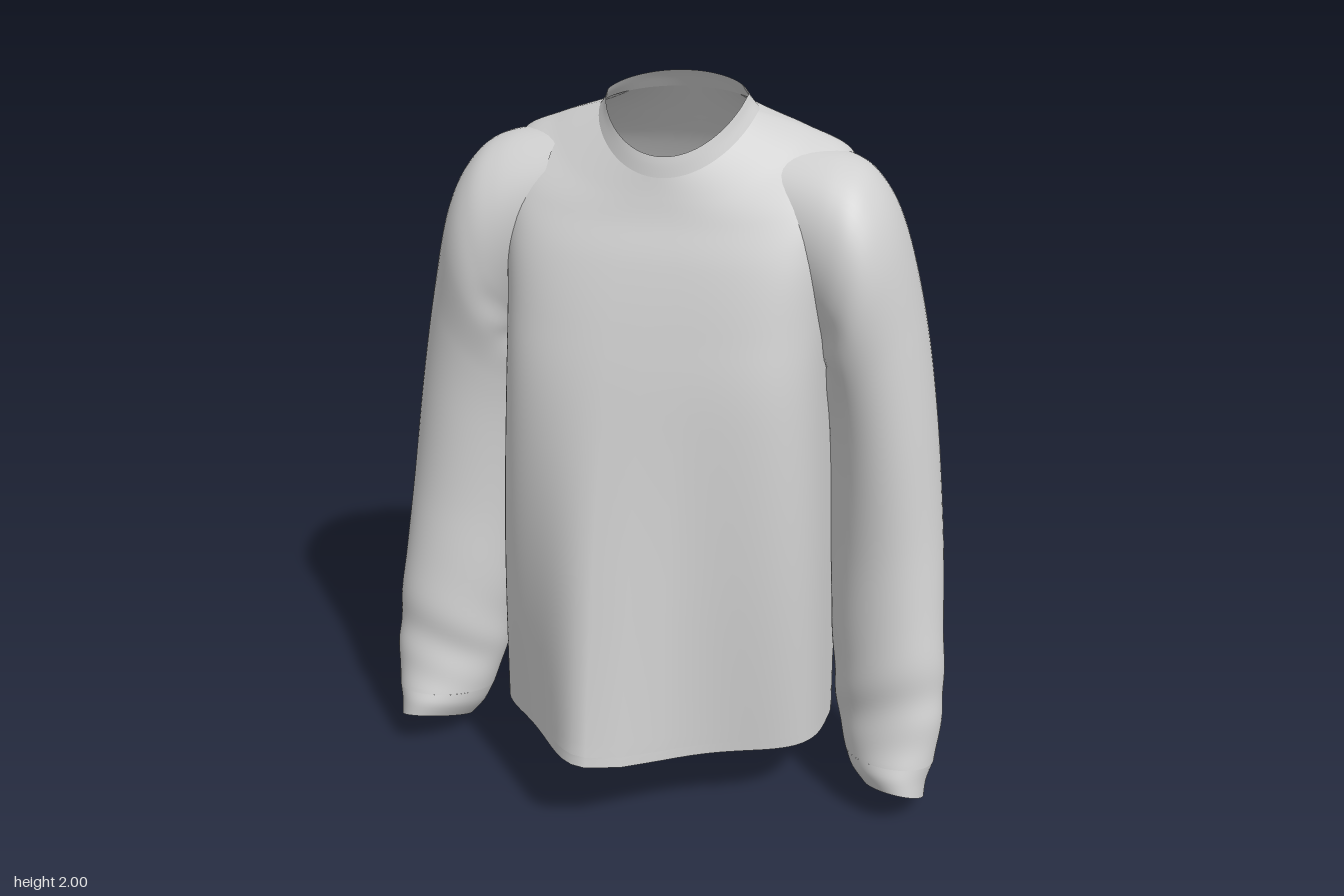
import * as THREE from 'three';

const fabric = new THREE.MeshStandardMaterial({ color: 0xcfcfcf, side: THREE.DoubleSide });
fabric.name = 'greyFabric';

// Smooth (Catmull-Rom) blend between rows of numbers
function sampleRows(rows, t) {
  const last = rows.length - 1;
  const i = Math.min(Math.floor(t), last - 1), f = t - i;
  const a = rows[Math.max(i - 1, 0)], b = rows[i], c = rows[i + 1], d = rows[Math.min(i + 2, last)];
  return b.map((v, k) => v + 0.5 * f * (c[k] - a[k]
    + f * (2 * a[k] - 5 * v + 4 * c[k] - d[k] + f * (3 * (v - c[k]) + d[k] - a[k]))));
}

// Open tube through the rows from t0 to t1; place(row, angle, t) gives each point
function loft(name, rows, t0, t1, steps, place, flip = false, segs = 128) {
  const pos = [], index = [];
  for (let j = 0; j <= steps; j++) {
    const t = t0 + (t1 - t0) * j / steps, row = sampleRows(rows, t);
    for (let i = 0; i < segs; i++) {
      pos.push(...place(row, i / segs * Math.PI * 2, t));
      if (j === steps) continue;
      const a = j * segs + i, b = j * segs + (i + 1) % segs, c = a + segs, d = b + segs;
      if (flip) index.push(a, b, c, b, d, c);
      else index.push(a, c, b, b, c, d);
    }
  }
  const geo = new THREE.BufferGeometry();
  geo.setAttribute('position', new THREE.Float32BufferAttribute(pos, 3));
  geo.setIndex(index);
  geo.computeVertexNormals();
  const mesh = new THREE.Mesh(geo, fabric);
  mesh.name = name;
  return mesh;
}

const bell = (x, w) => Math.exp(-(x * x) / (w * w));

// Body: front y, side y, back y, half width, front z, side z, back z, fold, front and back roundness
const bodyRows = [
  [0.26, 0.185, 0.14, 0.47, 0.465, -0.10, -0.435, 1.0, 0.55, 0.9],
  [0.75, 0.70, 0.70, 0.455, 0.37, -0.12, -0.46, 0.55, 0.52, 0.72],
  [1.20, 1.20, 1.20, 0.437, 0.262, -0.14, -0.465, 0.15, 0.5, 0.5],
  [1.42, 1.45, 1.45, 0.438, 0.20, -0.15, -0.46, 0.05, 0.52, 0.48],
  [1.58, 1.68, 1.62, 0.45, 0.145, -0.16, -0.445, 0, 0.58, 0.54],
  [1.68, 1.825, 1.76, 0.45, 0.10, -0.17, -0.40, 0, 0.72, 0.68],
  [1.74, 1.89, 1.86, 0.33, 0.078, -0.16, -0.345, 0, 0.88, 0.86],
  [1.79, 1.93, 1.95, 0.21, 0.062, -0.13, -0.285, 0, 1, 1],
];
const collarRows = [
  bodyRows[7],
  [1.82, 1.95, 1.98, 0.195, 0.056, -0.12, -0.266, 0, 1, 1],
  [1.842, 1.97, 2.00, 0.185, 0.05, -0.11, -0.25, 0, 1, 1],
];
function bodyPoint([yf, ys, yb, hw, zf, zs, zb, fold, ef, eb], a) {
  const c = Math.cos(a), s = Math.sin(a), e = s > 0 ? ef : eb;
  const x = 0.01 + hw * Math.sign(c) * Math.abs(c) ** e;
  let f = Math.abs(s) ** e;
  const bend = 1.4 - 0.4 * fold;
  if (s > 0) {
    // Draped ridge running down the front
    const ridge = 0.55 + 0.45 * bell(x + 0.09, x < -0.09 ? 0.19 : 0.25);
    f *= 1 + (ridge - 1) * fold;
    return [x, ys + (yf - ys) * f ** bend, zs + (zf - zs) * f];
  }
  // Shallow hollow down the middle of the back
  return [x, ys + (yb - ys) * f ** bend, zs + (zb - zs) * f + 0.02 * bell(x, 0.14) * fold];
}

// Sleeve: outer x, outer y, inner x, inner y, centre z, half depth, front lift
const sleeveRows = [
  [0.30, 1.855, 0.36, 1.38, -0.16, 0.20, 0],
  [0.45, 1.838, 0.405, 1.30, -0.16, 0.238, 0],
  [0.54, 1.785, 0.42, 1.26, -0.15, 0.243, 0],
  [0.612, 1.66, 0.425, 1.20, -0.15, 0.243, 0],
  [0.677, 1.42, 0.43, 1.10, -0.165, 0.228, 0],
  [0.727, 1.15, 0.44, 0.97, -0.155, 0.205, 0],
  [0.77, 0.82, 0.455, 0.74, -0.125, 0.178, 0],
  [0.80, 0.52, 0.483, 0.46, -0.065, 0.152, 0],
  [0.815, 0.32, 0.51, 0.27, -0.035, 0.137, 0.01],
  [0.805, 0.17, 0.545, 0.15, 0.0, 0.138, 0.03],
];
const cuffRows = [
  sleeveRows[9],
  [0.79, 0.12, 0.57, 0.10, 0.025, 0.125, 0.05],
  [0.787, 0.07, 0.61, 0.055, 0.038, 0.116, 0.058],
];
const sleevePoint = (side, wrinkled) => ([ox, oy, ix, iy, zc, rz, lift], a, t) => {
  const c = Math.cos(a), s = Math.sin(a);
  // Gathered folds at the armpit and slanting creases above the cuff
  const r = wrinkled ? 1
    + 0.03 * bell(t - 7.7, 0.8) * Math.sin(t * 6 + 2.5 * s + 2 * c) * (0.6 + 0.4 * s)
    + 0.03 * bell(t - 2.5, 0.8) * Math.max(-c, 0) * Math.sin(a * 9 + t * 3) : 1;
  return [
    side * ((ox + ix) / 2 + (ox - ix) / 2 * c * r),
    (oy + iy) / 2 + (oy - iy) / 2 * c * r + lift * s,
    zc + rz * s * r + 0.03 * c, // outer side turned slightly forward
  ];
};

export function createModel() {
  const group = new THREE.Group();
  group.name = 'sweater';

  // Body, hem band and neck band
  group.add(loft('hemBand', bodyRows, 0, 0.1, 3, bodyPoint));
  group.add(loft('body', bodyRows, 0.1, 7, 70, bodyPoint));
  group.add(loft('collar', collarRows, 0, 2, 8, bodyPoint));

  // Mirrored sleeves and cuffs
  for (const side of [1, -1]) {
    const label = side > 0 ? 'left' : 'right';
    group.add(loft(label + 'Sleeve', sleeveRows, 0, 9, 100, sleevePoint(side, true), side > 0, 64));
    group.add(loft(label + 'Cuff', cuffRows, 0, 2, 8, sleevePoint(side, false), side > 0, 64));
  }
  return group;
}
